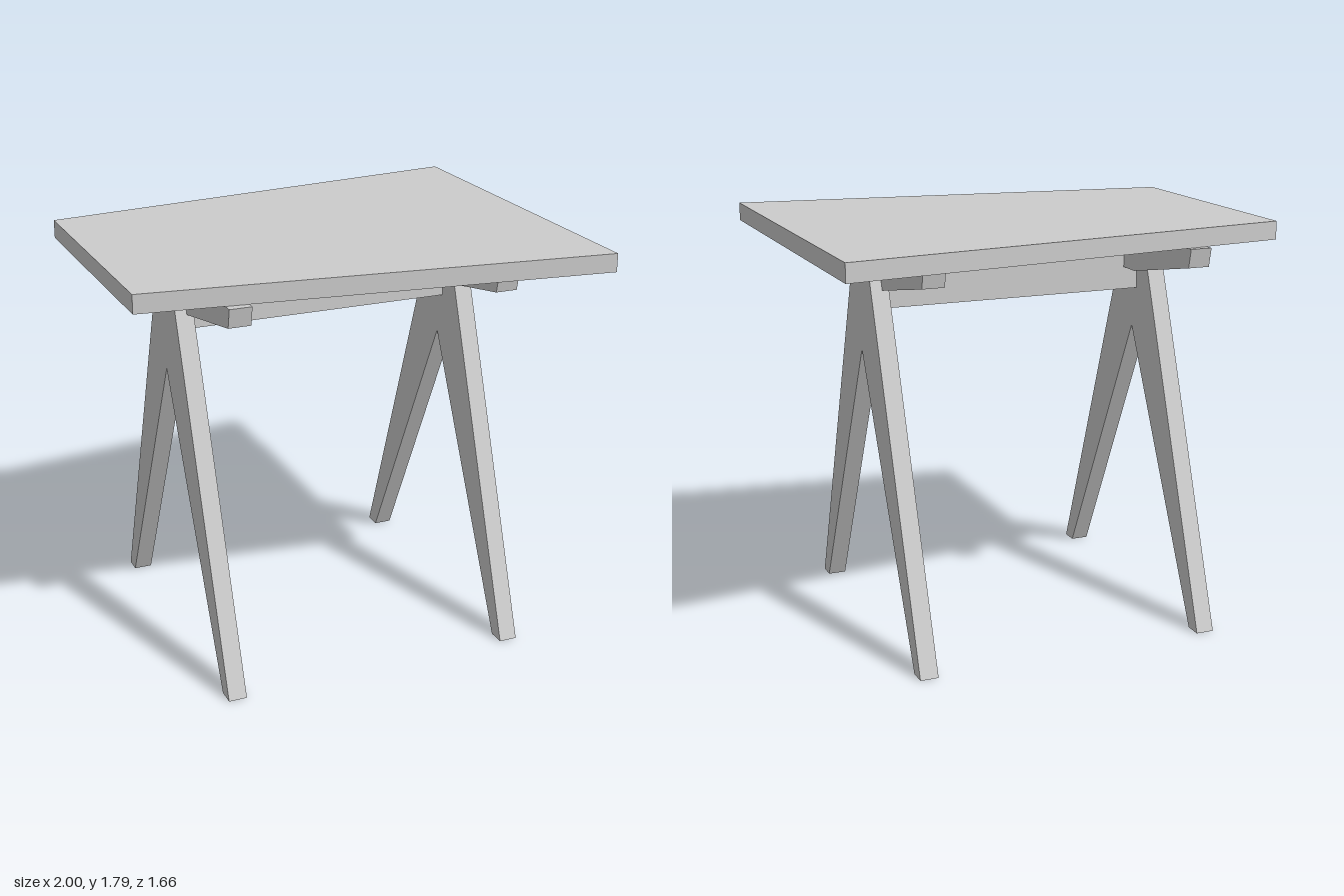
import * as THREE from 'three';

const material = new THREE.MeshStandardMaterial({ color: 0xcccccc, flatShading: true });
const TOP_Y = 1.795, UNDER_Y = 1.715;

// Extrudes an outline of [a, b] points, centred on the extrusion axis
function slab(name, points, depth) {
  const shape = new THREE.Shape(points.map(([a, b]) => new THREE.Vector2(a, b)));
  const geometry = new THREE.ExtrudeGeometry(shape, { depth, bevelEnabled: false });
  geometry.translate(0, 0, -depth / 2);
  const mesh = new THREE.Mesh(geometry, material);
  mesh.name = name;
  return mesh;
}

// Completes a half outline by mirroring it across a = 0
const mirrored = (half) => [...half, ...half.filter(([a]) => a !== 0).reverse().map(([a, b]) => [-a, b])];

export function createModel() {
  const table = new THREE.Group();
  table.name = 'table';

  // Tapered tabletop, wider at +x
  const top = slab('tabletop', [[-1, -0.58], [1, -0.83], [1, 0.83], [-1, 0.58]], TOP_Y - UNDER_Y);
  top.rotation.x = -Math.PI / 2;
  top.position.y = (TOP_Y + UNDER_Y) / 2;
  table.add(top);

  const base = new THREE.Group();
  base.name = 'base';
  base.position.set(-0.003, 0, 0.004);
  table.add(base);

  // Splayed A-shaped legs and the tapered bearers beside them
  const legOutline = mirrored([[0, 1.255], [0.625, 0], [0.701, 0], [0.08, UNDER_Y]]);
  const bearerOutline = mirrored([[0.145, 1.535], [0.646, 1.632], [0.664, UNDER_Y]]);
  for (const side of [-1, 1]) {
    const label = side > 0 ? 'left' : 'right';
    const leg = slab(label + 'LegFrame', legOutline, 0.08);
    leg.rotation.y = Math.PI / 2;
    leg.position.x = side * 0.648;
    const bearer = slab(label + 'Bearer', bearerOutline, 0.096);
    bearer.rotation.y = Math.PI / 2;
    bearer.position.x = side * 0.59;
    base.add(leg, bearer);
  }

  // Central stretcher between the leg frames
  const stretcher = new THREE.Mesh(new THREE.BoxGeometry(1.216, 0.28, 0.08), material);
  stretcher.name = 'stretcher';
  stretcher.position.y = UNDER_Y - 0.14;
  base.add(stretcher);

  return table;
}
